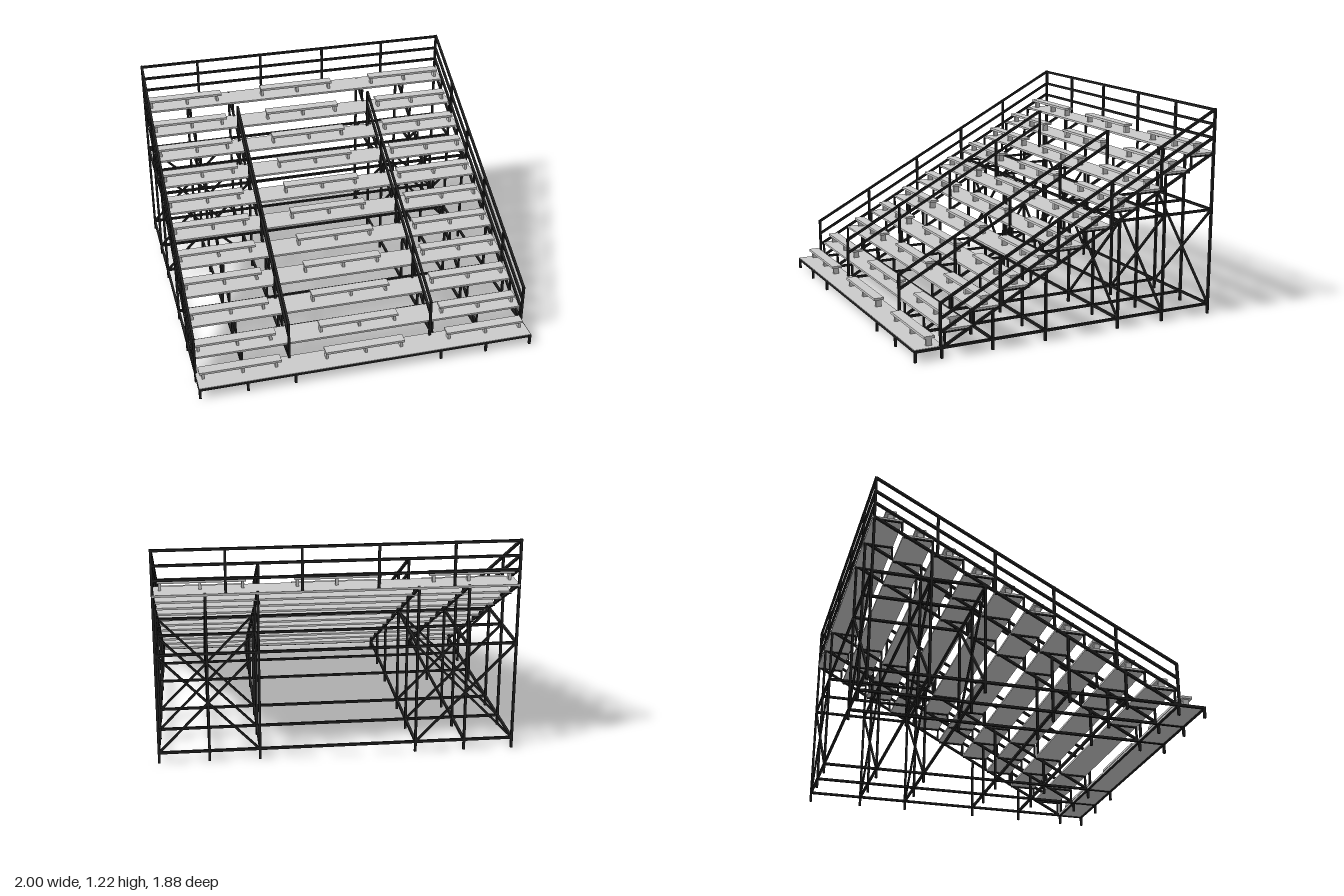
import * as THREE from 'three';

const steel = new THREE.MeshStandardMaterial({ color: 0x222222 });
const grey = new THREE.MeshStandardMaterial({ color: 0xcccccc });
const T = 0.014; // tube thickness
const ROWS = 11, PITCH = 0.1715, RISE = 0.09;
const FRONT = 0.94, BACK = -0.934, FOOT = 0.78;

const treadTop = (row) => 0.07 + RISE * row;
const treadFront = (row) => FRONT - PITCH * row;
const slopeY = (z) => 0.06 + (FOOT - z) * 0.529; // height of the stringers

export function createModel() {
  const model = new THREE.Group();
  const section = (name) => {
    const g = new THREE.Group();
    g.name = name;
    model.add(g);
    return g;
  };
  const box = (parent, name, size, pos, material) => {
    const mesh = new THREE.Mesh(new THREE.BoxGeometry(...size), material);
    mesh.name = name;
    mesh.position.set(...pos);
    parent.add(mesh);
    return mesh;
  };
  // square tube between two points
  const bar = (parent, name, a, b, t = T) => {
    const p = new THREE.Vector3(...a), q = new THREE.Vector3(...b);
    const mid = p.clone().add(q).multiplyScalar(0.5);
    const mesh = box(parent, name, [t, t, p.distanceTo(q)], mid.toArray(), steel);
    mesh.lookAt(q);
    return mesh;
  };

  const frameX = [-0.993, -0.718, -0.44, 0.435, 0.715, 0.993];
  const columnZ = [0.933, 0.78, 0.48, 0.155, -0.31, -0.61, BACK];

  // Treads and benches
  const treads = section('treads');
  const benches = section('benches');
  const seats = [
    { x: -0.745, legs: [-0.96, -0.73, -0.535] },
    { x: -0.007, legs: [-0.235, 0, 0.215] },
    { x: 0.73, legs: [0.51, 0.74, 0.955] },
  ];
  const seatZ = [0.84, 0.7, 0.513, 0.332, 0.165, -0.005, -0.172, -0.34, -0.507, -0.673, -0.84];
  for (let row = 0; row < ROWS; row++) {
    const y = treadTop(row), z = treadFront(row);
    box(treads, 'tread', [1.99, 0.012, PITCH - 0.004], [0, y - 0.006, z - PITCH / 2], grey);
    for (const { x, legs } of seats) {
      box(benches, 'seat', [0.476, 0.014, 0.062], [x, y + 0.048, seatZ[row]], grey);
      for (const lx of legs)
        box(benches, 'seatLeg', [0.015, 0.043, 0.034], [lx, y + 0.0205, seatZ[row]], grey);
    }
  }

  // Sloping stringers with stepped tread brackets, columns and base runners
  const frames = section('supportFrames');
  for (const x of frameX) {
    bar(frames, 'stringer', [x, slopeY(FOOT), FOOT], [x, slopeY(BACK), BACK]);
    bar(frames, 'baseRunner', [x, 0.06, FRONT], [x, 0.06, -0.94]);
    bar(frames, 'upperRunner', [x, 0.63, -0.31], [x, 0.63, BACK]);
    for (const z of columnZ)
      bar(frames, 'column', [x, 0, z], [x, Math.max(0.06, slopeY(z)), z]);
    for (let row = 1; row < ROWS; row++) {
      const z = treadFront(row) - 0.005, y = treadTop(row) - 0.012;
      bar(frames, 'riserPost', [x, slopeY(z), z], [x, y, z], 0.011);
      bar(frames, 'treadBearer', [x, y - 0.004, z], [x, y - 0.004, z - PITCH + 0.01], 0.009);
    }
  }

  // Cross beams and diagonal bracing
  const bracing = section('bracing');
  for (const z of columnZ) {
    bar(bracing, 'baseBeam', [-1, 0.06, z], [1, 0.06, z]);
    if (z > -0.3) continue;
    bar(bracing, 'upperBeam', [-1, 0.63, z], [1, 0.63, z]);
    for (const s of [-1, 1]) {
      bar(bracing, 'diagonalBrace', [s * 0.993, 0.63, z], [s * 0.438, 0.06, z], 0.012);
      bar(bracing, 'diagonalBrace', [s * 0.993, 0.06, z], [s * 0.438, 0.63, z], 0.012);
    }
  }

  // Sloping handrails: full length at the sides, shorter along the aisles
  const railPostZ = [0.787, 0.435, 0.08, -0.255, -0.58, BACK];
  const railing = (name, x, heights, posts) => {
    const g = section(name);
    const z0 = posts[0], z1 = posts[posts.length - 1];
    for (const h of heights)
      bar(g, 'slopedRail', [x, slopeY(z0) + h, z0], [x, slopeY(z1) + h, z1]);
    for (const z of posts)
      bar(g, 'railPost', [x, slopeY(z), z], [x, slopeY(z) + 0.255, z]);
  };
  railing('rightSideRailing', -0.993, [0.09, 0.165, 0.25], railPostZ);
  railing('leftSideRailing', 0.993, [0.09, 0.165, 0.25], railPostZ);
  railing('rightAisleRailing', -0.445, [0.165, 0.25], railPostZ.slice(0, 5));
  railing('leftAisleRailing', 0.412, [0.165, 0.25], railPostZ.slice(0, 5));

  // Guard rail across the back
  const guard = section('backGuardRail');
  for (const y of [1.05, 1.13, 1.213]) bar(guard, 'backRail', [-1, y, BACK], [1, y, BACK]);
  for (const x of [-0.635, -0.22, 0.195, 0.605])
    bar(guard, 'backPost', [x, 0.965, BACK], [x, 1.213, BACK]);

  return model;
}
